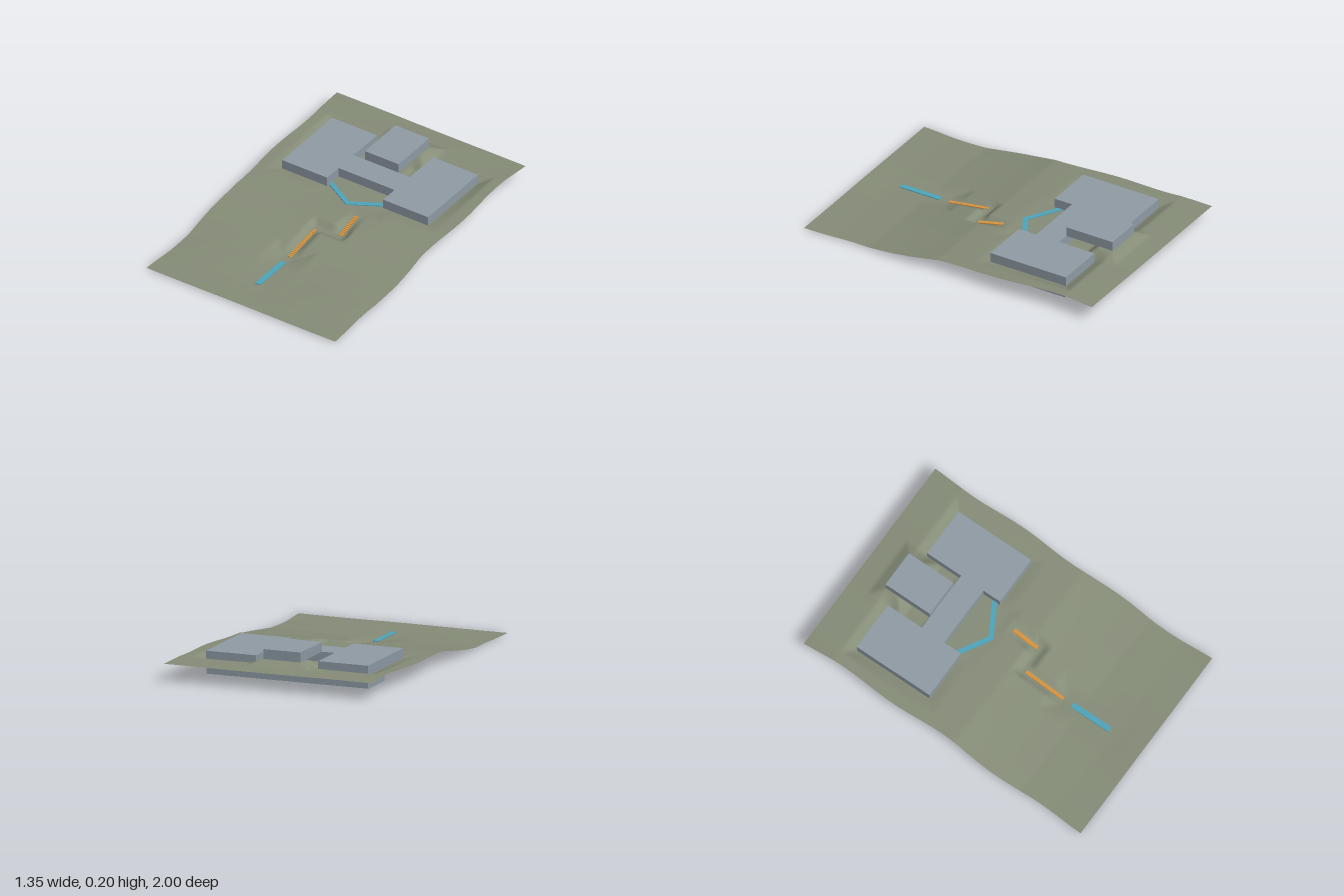
import * as THREE from 'three';

const mat = (name, color, side = THREE.FrontSide) =>
  new THREE.MeshStandardMaterial({ name, color, side });
const { clamp, lerp } = THREE.MathUtils;

// Long section of the hillside: [z, y]
const SECTION = [[-1, 0.117], [-0.8, 0.126], [-0.6, 0.118], [-0.2, 0.102], [-0.05, 0.096],
  [0.08, 0.09], [0.22, 0.066], [0.4, 0.04], [0.56, 0.02], [0.8, 0.015], [1, 0.018]];

function hillside(x, z) {
  let i = 1;
  while (i < SECTION.length - 1 && z > SECTION[i][0]) i++;
  const [z0, y0] = SECTION[i - 1], [z1, y1] = SECTION[i];
  return lerp(y0, y1, clamp((z - z0) / (z1 - z0), 0, 1))
    + 0.003 * Math.sin(x * 7 + z * 2) * Math.cos(z * 5);
}

// Earthworks cut or raised to a level: [x0, x1, z0, z1, y at z0, y at z1, slope margin]
const PADS = [
  [-0.52, 0.52, -0.72, -0.2, 0.093, 0.093, 0.07],
  [-0.2, 0.2, -0.48, -0.13, 0.093, 0.093, 0.07],
  [-0.06, -0.02, 0.46, 0.78, 0.012, 0.012, 0.12],
  [-0.055, -0.025, 0.16, 0.43, 0.052, 0.012, 0.04],
  [0.1, 0.14, -0.04, 0.13, 0.092, 0.052, 0.04],
  [-0.05, 0.14, 0.13, 0.16, 0.054, 0.054, 0.04],
  [0.12, 0.2, -0.64, -0.5, 0.084, 0.084, 0.02],
  [-0.2, -0.12, -0.64, -0.5, 0.084, 0.084, 0.02],
  [-0.13, 0.13, -0.8, -0.7, 0.153, 0.153, 0.07],
];

function ground(x, z) {
  let y = hillside(x, z);
  for (const [x0, x1, z0, z1, ya, yb, margin] of PADS) {
    const dx = Math.max(x0 - x, 0, x - x1), dz = Math.max(z0 - z, 0, z - z1);
    const weight = clamp(1 - Math.max(dx, dz) / margin, 0, 1);
    y = lerp(y, lerp(ya, yb, clamp((z - z0) / (z1 - z0), 0, 1)), weight);
  }
  return y;
}

function terrainGeometry() {
  const g = new THREE.PlaneGeometry(1.33, 2, 100, 150).rotateX(-Math.PI / 2);
  const p = g.attributes.position;
  for (let i = 0; i < p.count; i++) {
    const z = p.getZ(i);
    // gently wavy long edges
    const x = p.getX(i) * (1 + 0.012 * Math.sin(z * 9 + 4.8));
    p.setXYZ(i, x, ground(x, z), z);
  }
  g.computeVertexNormals();
  return g;
}

// Flat outline in (x, z), extruded upward from y0 to y1
function slab(points, y0, y1) {
  const shape = new THREE.Shape(points.map(([x, z]) => new THREE.Vector2(x, -z)));
  return new THREE.ExtrudeGeometry(shape, { depth: y1 - y0, bevelEnabled: false })
    .rotateX(-Math.PI / 2).translate(0, y0, 0);
}

// Mirrors a half outline across x = 0
const mirrored = (half) => [...half, ...half.map(([x, z]) => [-x, z]).reverse()];

// Solid flight rising toward -z
function stairs(x, zLow, zHigh, yLow, yHigh, steps, width) {
  const pts = [new THREE.Vector2(zLow, yLow)];
  const run = (zHigh - zLow) / steps, rise = (yHigh - yLow) / steps;
  for (let i = 0; i < steps; i++) {
    pts.push(new THREE.Vector2(zLow + run * i, yLow + rise * (i + 1)));
    pts.push(new THREE.Vector2(zLow + run * (i + 1), yLow + rise * (i + 1)));
  }
  pts.push(new THREE.Vector2(zHigh, yLow));
  return new THREE.ExtrudeGeometry(new THREE.Shape(pts), { depth: width, bevelEnabled: false })
    .rotateY(-Math.PI / 2).translate(x + width / 2, 0, 0);
}

export function createModel() {
  const group = new THREE.Group();
  const earth = mat('earth', 0x868d78, THREE.DoubleSide);
  const stone = mat('blueGrey', 0x909ca6);
  const wood = mat('orange', 0xd9963f);
  const water = mat('pathBlue', 0x4fa6bd);
  const add = (name, geometry, material) => {
    const mesh = new THREE.Mesh(geometry, material);
    mesh.name = name;
    group.add(mesh);
  };

  add('terrain', terrainGeometry(), earth);

  // Building: buried T-shaped floor, H-shaped ground floor, upper block
  add('lowerFloor', slab(mirrored([[0.2, -0.32], [0.2, -0.48], [0.52, -0.48], [0.52, -0.72]]),
    0.015, 0.075), stone);
  add('mainFloor', slab(mirrored([[0.2, -0.32], [0.2, -0.2], [0.52, -0.2], [0.52, -0.725],
    [0.2, -0.725], [0.2, -0.48]]), 0.095, 0.155), stone);
  add('upperFloor', new THREE.BoxGeometry(0.24, 0.06, 0.32).translate(0, 0.185, -0.64), stone);

  // Two flights joined by the landing in the ground
  add('lowerStairs', stairs(-0.04, 0.43, 0.16, 0.015, 0.056, 18, 0.022), wood);
  add('upperStairs', stairs(0.12, 0.13, -0.04, 0.055, 0.096, 12, 0.026), wood);

  // Thin paths
  add('forecourtPath', slab([[0, -0.105], [0.2, -0.22], [0.2, -0.255], [0, -0.14],
    [-0.2, -0.255], [-0.2, -0.22]], 0.092, 0.098), water);
  add('entryPath', new THREE.BoxGeometry(0.036, 0.006, 0.27).translate(-0.04, 0.014, 0.63), water);

  // Settle on the ground plane
  const low = new THREE.Box3().setFromObject(group).min.y;
  group.children.forEach((m) => { m.position.y -= low; });
  return group;
}
